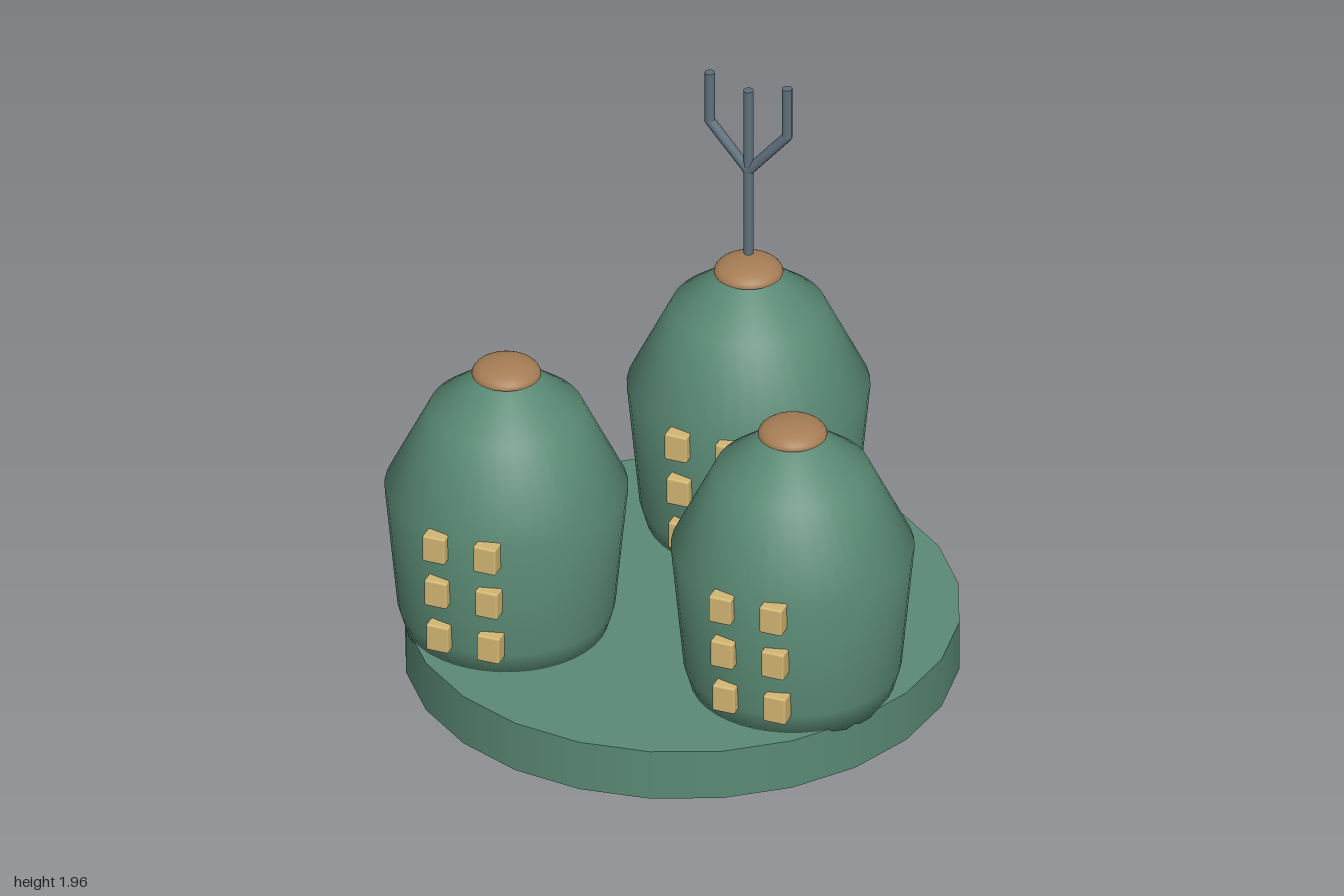
import * as THREE from 'three';
import { RoundedBoxGeometry } from 'three/addons/geometries/RoundedBoxGeometry.js';

const paint = (name, color) => {
  const m = new THREE.MeshStandardMaterial({ color });
  m.name = name;
  return m;
};

export function createModel() {
  const green = paint('leafGreen', 0x5a8a75);
  const brown = paint('capBrown', 0xa67d55);
  const yellow = paint('windowYellow', 0xd2b672);
  const grey = paint('antennaGrey', 0x5f707c);

  const model = new THREE.Group();
  model.name = 'podHouses';

  const add = (parent, name, geometry, material, x = 0, y = 0, z = 0) => {
    const mesh = new THREE.Mesh(geometry, material);
    mesh.name = name;
    mesh.position.set(x, y, z);
    parent.add(mesh);
    return mesh;
  };

  // Round base plate
  add(model, 'base', new THREE.CylinderGeometry(0.96, 0.96, 0.19, 24), green, 0, 0.095, 0.035);

  // Shared pod geometries
  const profile = [[0, 0.165], [0.345, 0.165], [0.376, 0.27], [0.42, 0.735], [0.268, 1.045], [0.09, 1.185], [0, 1.2]]
    .map(([r, y]) => new THREE.Vector2(r, y));
  const podGeometry = new THREE.LatheGeometry(profile, 40);
  const capGeometry = new THREE.SphereGeometry(0.12, 32, 10, 0, Math.PI * 2, 0, Math.PI / 2);
  capGeometry.scale(1, 0.42, 1);
  const capUnderside = new THREE.CircleGeometry(0.12, 32).rotateX(Math.PI / 2);
  const windowGeometry = new RoundedBoxGeometry(0.083, 0.104, 0.06, 2, 0.008);
  const rows = [[0.7, 0.415], [0.51, 0.397], [0.32, 0.38]]; // height, depth from pod axis

  // Three pods, each with a cap and six windows
  for (const [name, x, z] of [['backPod', 0, -0.58], ['leftPod', 0.53, 0.34], ['rightPod', -0.53, 0.34]]) {
    const pod = new THREE.Group();
    pod.name = name;
    pod.position.set(x, 0, z);
    model.add(pod);
    add(pod, 'body', podGeometry, green);
    add(pod, 'cap', capGeometry, brown, 0, 1.185, 0);
    add(pod, 'capUnderside', capUnderside, brown, 0, 1.185, 0);
    for (const [y, depth] of rows)
      for (const side of [-1, 1])
        add(pod, 'window', windowGeometry, yellow, side * 0.094, y, depth);
  }

  // Forked antenna above the back pod
  const antenna = new THREE.Group();
  antenna.name = 'antenna';
  antenna.position.z = -0.58;
  model.add(antenna);
  const rod = (name, x0, y0, x1, y1) => {
    const dx = x1 - x0, dy = y1 - y0;
    const mesh = add(antenna, name, new THREE.CylinderGeometry(0.018, 0.018, Math.hypot(dx, dy), 12), grey,
      (x0 + x1) / 2, (y0 + y1) / 2);
    mesh.rotation.z = -Math.atan2(dx, dy);
  };
  rod('stem', 0, 1.26, 0, 1.92);
  for (const side of [-1, 1]) {
    rod('arm', 0, 1.595, side * 0.143, 1.765);
    rod('prong', side * 0.143, 1.76, side * 0.143, 1.96);
  }

  return model;
}
